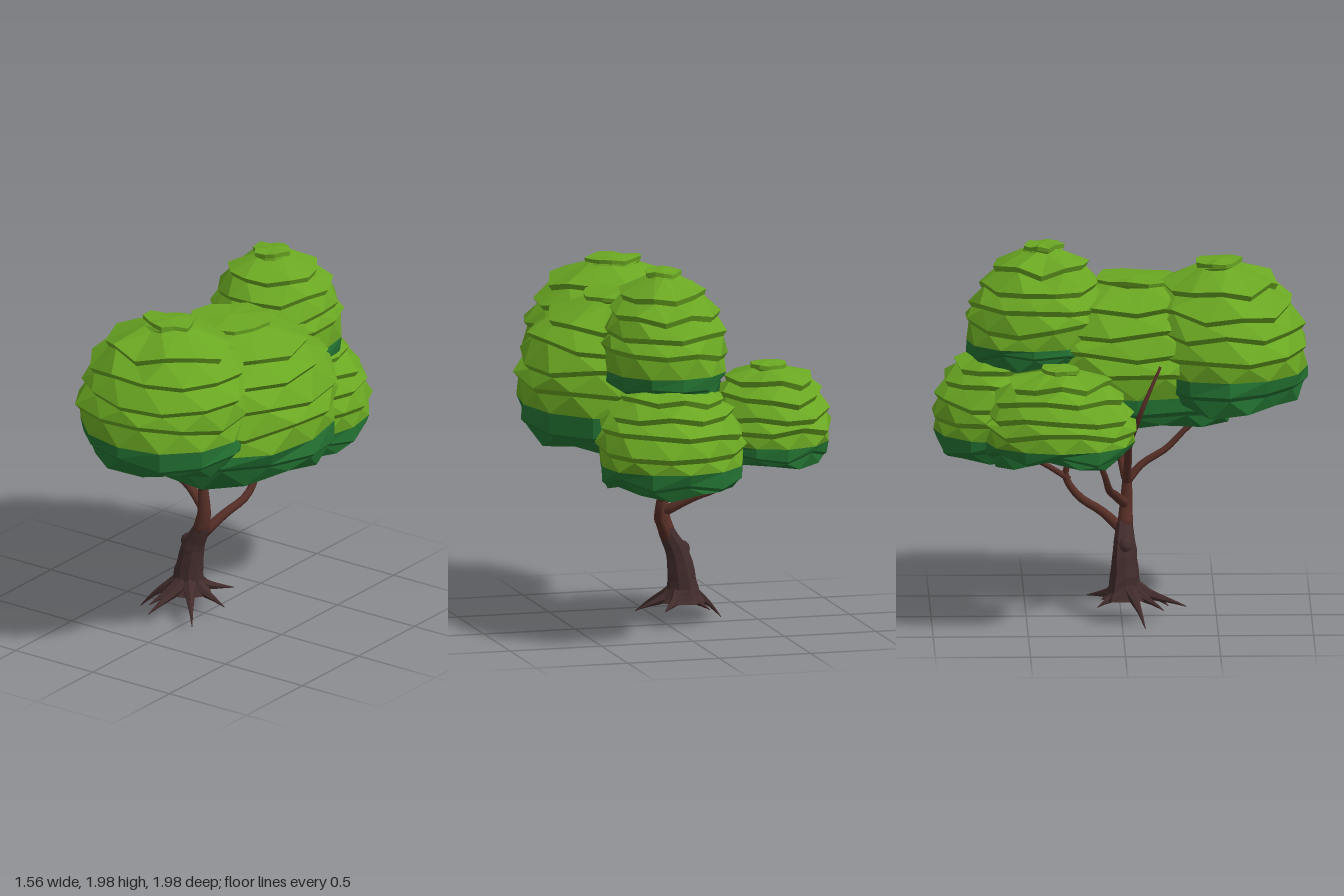
import * as THREE from 'three';

const mat = (name, color, flat) => {
  const m = new THREE.MeshStandardMaterial({ color, flatShading: flat });
  m.name = name;
  return m;
};

// small seeded generator, returns -1..1
function seeded(seed) {
  let s = seed;
  return () => {
    s = (s * 16807) % 2147483647;
    return (s / 2147483647) * 2 - 1;
  };
}

// skin over rings that all have the same number of points
function loft(rings, flat) {
  const n = rings[0].length, pos = [], idx = [];
  for (const ring of rings) for (const p of ring) pos.push(p.x, p.y, p.z);
  for (let k = 0; k < rings.length - 1; k++) {
    for (let i = 0; i < n; i++) {
      const a = k * n + i, b = k * n + (i + 1) % n;
      idx.push(a, a + n, b, b, a + n, b + n);
    }
  }
  let g = new THREE.BufferGeometry();
  g.setAttribute('position', new THREE.Float32BufferAttribute(pos, 3));
  g.setIndex(idx);
  if (flat) g = g.toNonIndexed();
  g.computeVertexNormals();
  return g;
}

// tapered tube through points [x, y, z, radius]
function limb(points, sides, steps, flat, wobble = 0) {
  const curve = new THREE.CatmullRomCurve3(points.map(p => new THREE.Vector3(p[0], p[1], p[2])));
  const rings = [];
  const rand = seeded(77);
  const side = [];
  for (let i = 0; i < sides; i++) side.push(1 + wobble * rand());
  const last = points.length - 1;
  const u = new THREE.Vector3(1, 0, 0.3);
  for (let k = 0; k <= steps; k++) {
    const t = k / steps, f = t * last, j = Math.min(Math.floor(f), last - 1);
    const r = THREE.MathUtils.lerp(points[j][3], points[j + 1][3], f - j);
    const c = curve.getPoint(t), tan = curve.getTangent(t);
    u.addScaledVector(tan, -u.dot(tan)).normalize();
    const v = u.clone().cross(tan);
    const ring = [];
    for (let i = 0; i < sides; i++) {
      const a = (i / sides) * Math.PI * 2, q = r * side[i] * (1 + wobble * 0.5 * rand());
      ring.push(c.clone().addScaledVector(u, Math.cos(a) * q).addScaledVector(v, Math.sin(a) * q));
    }
    if (k === 0) rings.push(ring.map(() => c.clone()));
    rings.push(ring);
    if (k === steps) rings.push(ring.map(() => c.clone()));
  }
  return loft(rings, flat);
}

// leaf clump: hollow dark underside, light dome of overlapping tiers
function clump(o, light, dark) {
  const N = 12, TIERS = 5, rand = seeded(o.seed);
  const height = o.top - o.split, drop = o.split - o.bottom;
  const noise = () => Array.from({ length: N }, () => ({ r: rand(), y: rand() }));
  // each ring turns half a step further, so the facets stay even
  const ring = (r, y, turn, js, jr, jy) => js.map((j, i) => {
    const a = ((i + turn) / N) * Math.PI * 2;
    const s = Math.max(0, (y - o.split) / height);
    const q = r * (1 + j.r * jr);
    return new THREE.Vector3(
      o.x + (o.dx || 0) * s + Math.cos(a) * q * o.rx,
      y + j.y * jy,
      o.z + (o.dz || 0) * s + Math.sin(a) * q * o.rz);
  });
  const seam = noise(), rim = noise(), lip = noise();
  const seamRing = ring(0.985, o.split, 0, seam, 0.025, 0);
  const under = loft([
    ring(0, o.bottom + drop * 0.95, -2, rim, 0, 0),
    ring(0.45, o.bottom + drop * 0.8, -1.5, noise(), 0.1, 0.03),
    ring(0.72, o.bottom + drop * 0.35, -1, noise(), 0.05, 0.02),
    ring(0.85, o.bottom + 0.035, -0.5, rim, 0.05, 0.04),
    ring(0.91, o.bottom + drop * 0.48, 0, lip, 0.03, 0.03),
    ring(0.965, o.bottom + drop * 0.6, 0, lip, 0.03, 0.03),
    seamRing], true);

  const rings = [seamRing];
  for (let k = 1; k <= TIERS; k++) {
    const s = k / (TIERS + 0.2);
    const r = Math.pow(1 - Math.pow(s, o.round), 0.52) * 1.015;
    const y = o.split + s * height, turn = k * 0.5, js = noise();
    const jy = k === TIERS ? 0.006 : 0.026;
    // recessed upper edge, then the overhanging lip of the next tier
    rings.push(ring(r * 0.965, y - 0.018, turn, js, 0.035, jy));
    if (k < TIERS) rings.push(ring(r * 1.025, y + 0.012, turn, js, 0.035, jy));
  }
  // raised plate on top
  const capTurn = TIERS * 0.5, cap = noise();
  rings.push(ring(o.cap * 0.97, o.top - 0.03, capTurn, cap, 0.15, 0.006));
  rings.push(ring(o.cap, o.top - 0.008, capTurn, cap, 0.15, 0.008));
  rings.push(ring(0, o.top, capTurn + 0.5, seam, 0, 0));

  const group = new THREE.Group();
  group.name = o.name;
  const crown = new THREE.Mesh(loft(rings, true), light);
  crown.name = 'leafDome';
  const base = new THREE.Mesh(under, dark);
  base.name = 'leafUnderside';
  group.add(crown, base);
  return group;
}

export function createModel() {
  const light = mat('leafGreen', 0x6aa722, true);
  const dark = mat('shadeGreen', 0x237232, true);
  const bark = mat('darkBark', 0x422c2c, true);
  const wood = mat('redBark', 0x572f27, false);
  const tree = new THREE.Group();
  tree.name = 'tree';
  const add = (name, geo, m) => {
    const mesh = new THREE.Mesh(geo, m);
    mesh.name = name;
    tree.add(mesh);
    return mesh;
  };

  // trunk
  add('trunk', limb([
    [-0.09, 0.115, 0.02, 0.125], [-0.09, 0.17, 0.02, 0.09], [-0.08, 0.28, 0.02, 0.075],
    [-0.055, 0.39, 0.02, 0.062], [0.0, 0.5, 0.02, 0.045]], 9, 10, true, 0.1), bark);
  add('upperTrunk', limb([
    [-0.01, 0.48, 0.02, 0.044], [0.015, 0.58, 0.025, 0.036],
    [0.015, 0.68, 0.03, 0.03], [0.01, 0.78, 0.03, 0.022]], 8, 8, false), wood);
  const knot = add('knot', new THREE.IcosahedronGeometry(0.05, 1), bark);
  knot.position.set(-0.085, 0.395, 0.02);
  knot.scale.set(0.95, 0.95, 0.8);

  // roots: tips [x, y, z]
  const rootTips = [[-0.33, 0.001, 0.12], [-0.12, 0.075, 0.34], [0.1, 0.03, 0.25],
    [0.15, 0.08, 0.03], [0.06, 0.1, -0.18], [-0.2, 0.09, -0.13], [-0.2, 0.07, 0.22]];
  for (const [x, y, z] of rootTips) {
    const at = f => [-0.09 + (x + 0.09) * f, 0.02 + (z - 0.02) * f];
    const [ax, az] = at(0.1), [bx, bz] = at(0.4), [cx, cz] = at(0.72);
    add('root', limb([[ax, 0.18, az, 0.05], [bx, 0.135, bz, 0.028],
      [cx, 0.075 + y * 0.4, cz, 0.013], [x, y, z, 0.002]], 6, 6, true), bark);
  }

  // branches [x, y, z, radius]
  const branches = {
    leftBranch: [[0.01, 0.6, 0.02, 0.028], [-0.13, 0.68, -0.04, 0.024], [-0.28, 0.74, -0.07, 0.02],
      [-0.37, 0.85, -0.1, 0.016], [-0.44, 0.99, -0.17, 0.012], [-0.47, 1.1, -0.25, 0.006]],
    backBranch: [[0.0, 0.46, 0.01, 0.03], [0.06, 0.55, -0.1, 0.025], [0.11, 0.62, -0.22, 0.022],
      [0.12, 0.73, -0.29, 0.018], [0.09, 0.87, -0.25, 0.013], [0.06, 1.05, -0.22, 0.008]],
    backFork: [[0.12, 0.71, -0.27, 0.017], [0.11, 0.77, -0.36, 0.015],
      [0.12, 0.84, -0.48, 0.012], [0.12, 0.95, -0.58, 0.006]],
    upperLeftBranch: [[0.01, 0.72, 0.03, 0.024], [-0.09, 0.87, 0.035, 0.021], [-0.17, 0.97, 0.04, 0.018],
      [-0.29, 1.08, 0.07, 0.015], [-0.33, 1.2, 0.11, 0.013], [-0.285, 1.4, 0.2, 0.007]],
    upperLeftTwig: [[-0.16, 0.96, 0.05, 0.015], [-0.15, 1.03, 0.05, 0.012], [-0.12, 1.13, 0.06, 0.007]],
    frontBranch: [[0.01, 0.72, 0.03, 0.024], [0.03, 0.81, 0.11, 0.02], [0.05, 0.89, 0.24, 0.018],
      [0.06, 1.0, 0.35, 0.015], [0.075, 1.11, 0.5, 0.012], [0.02, 1.22, 0.58, 0.007]],
    middleBranch: [[0.01, 0.74, 0.02, 0.02], [0.045, 0.88, -0.01, 0.017],
      [0.05, 1.02, -0.03, 0.014], [0.06, 1.2, -0.05, 0.008]],
    rightBranch: [[0.01, 0.72, 0.03, 0.02], [0.09, 0.84, 0.03, 0.017],
      [0.16, 0.96, 0.02, 0.014], [0.22, 1.12, 0.04, 0.008]],
  };
  for (const name in branches) add(name, limb(branches[name], 7, 16, false), wood);

  // leaf clumps
  const clumps = [
    { name: 'frontLeaves', seed: 11, x: 0.15, z: 0.565, rx: 0.47, rz: 0.425, bottom: 1.11, split: 1.31, top: 1.89, dz: -0.05, round: 2.6, cap: 0.29 },
    { name: 'middleLeaves', seed: 29, x: 0.28, z: 0.08, rx: 0.5, rz: 0.585, bottom: 0.98, split: 1.2, top: 1.785, dx: -0.05, round: 2.9, cap: 0.38 },
    { name: 'tallLeaves', seed: 47, x: 0.14, z: -0.46, rx: 0.33, rz: 0.365, bottom: 1.33, split: 1.46, top: 1.98, dz: 0.05, round: 2.4, cap: 0.29 },
    { name: 'backLeaves', seed: 83, x: 0.15, z: -0.61, rx: 0.39, rz: 0.375, bottom: 0.83, split: 0.98, top: 1.45, round: 2.5, cap: 0.28 },
    { name: 'leftLeaves', seed: 101, x: -0.46, z: -0.33, rx: 0.325, rz: 0.395, bottom: 0.92, split: 1.04, top: 1.445, round: 2.4, cap: 0.28 },
  ];
  for (const c of clumps) tree.add(clump(c, light, dark));
  return tree;
}
